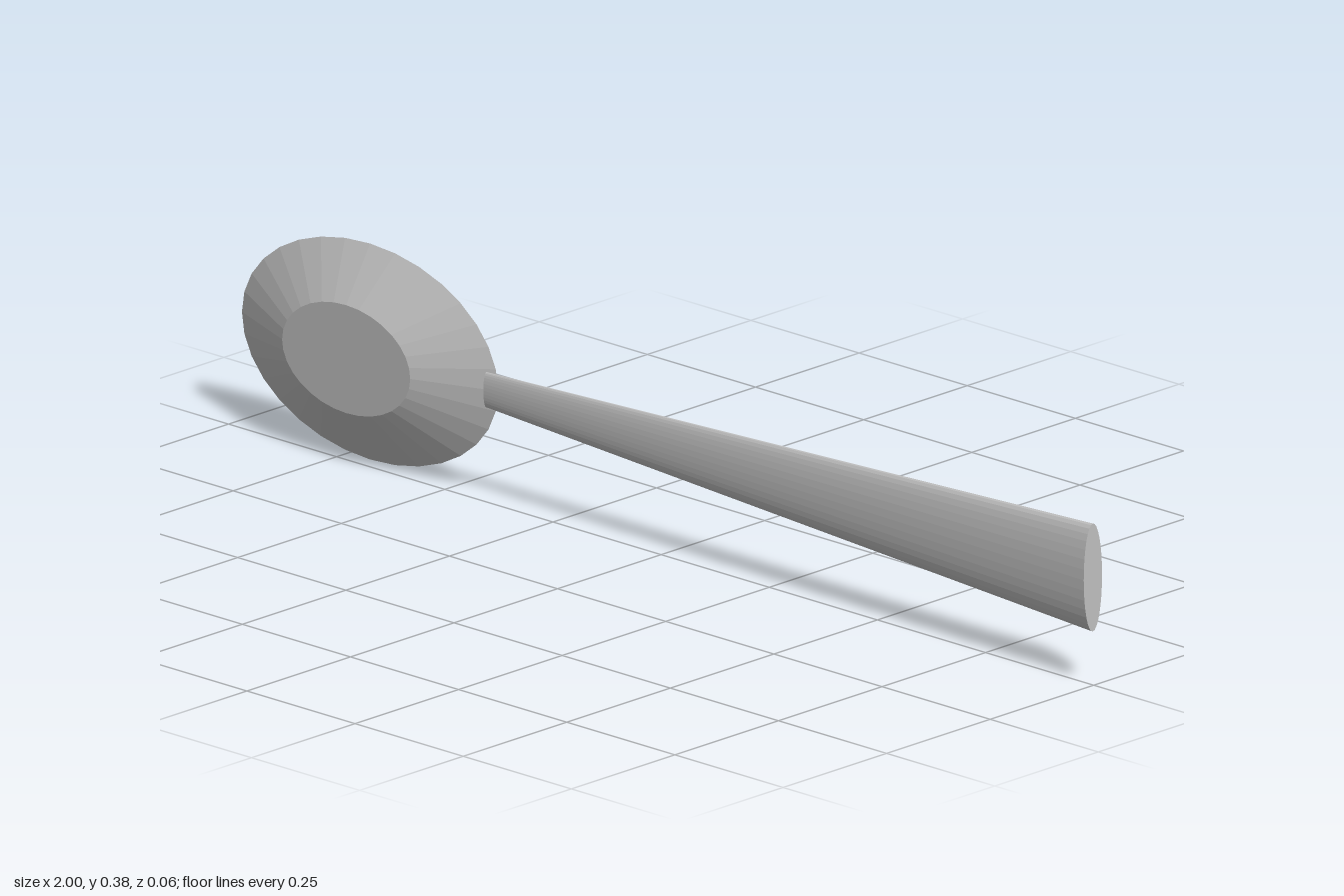
import * as THREE from 'three';

export function createModel() {
  const model = new THREE.Group();
  model.name = 'spoon';
  const metal = new THREE.MeshStandardMaterial({ color: 0xc0c0c0 });
  metal.name = 'grey metal';
  metal.flatShading = true;

  const SIDES = 32;
  const centreY = 0.19;

  // The spoon leans very slightly about its vertical axis
  const spoon = new THREE.Group();
  spoon.name = 'leaningSpoon';
  spoon.rotation.y = -0.013;
  model.add(spoon);

  // Bowl: hollow elliptical dish, open to the back, flat base to the front
  const profile = [
    [0, 0.034], [0.04, 0.034], [0.28, -0.019],
    [0.3, -0.019], [0.15, 0.038], [0, 0.038],
  ].map(([r, z]) => new THREE.Vector2(r, z));
  const bowlGeometry = new THREE.LatheGeometry(profile, SIDES);
  bowlGeometry.rotateX(Math.PI / 2);
  bowlGeometry.scale(1, 0.19 / 0.3, 1);
  const bowl = new THREE.Mesh(bowlGeometry, metal);
  bowl.name = 'bowl';
  bowl.position.set(-0.7, centreY, 0);
  spoon.add(bowl);

  // Handle: flattened cone widening away from the bowl
  const start = -0.42, end = 1;
  const handleGeometry = new THREE.CylinderGeometry(0.095, 0.031, end - start, SIDES);
  handleGeometry.rotateZ(-Math.PI / 2);
  handleGeometry.scale(1, 1, 0.23);
  const handle = new THREE.Mesh(handleGeometry, metal);
  handle.name = 'handle';
  handle.position.set((start + end) / 2, centreY, -0.011);
  spoon.add(handle);

  return model;
}
